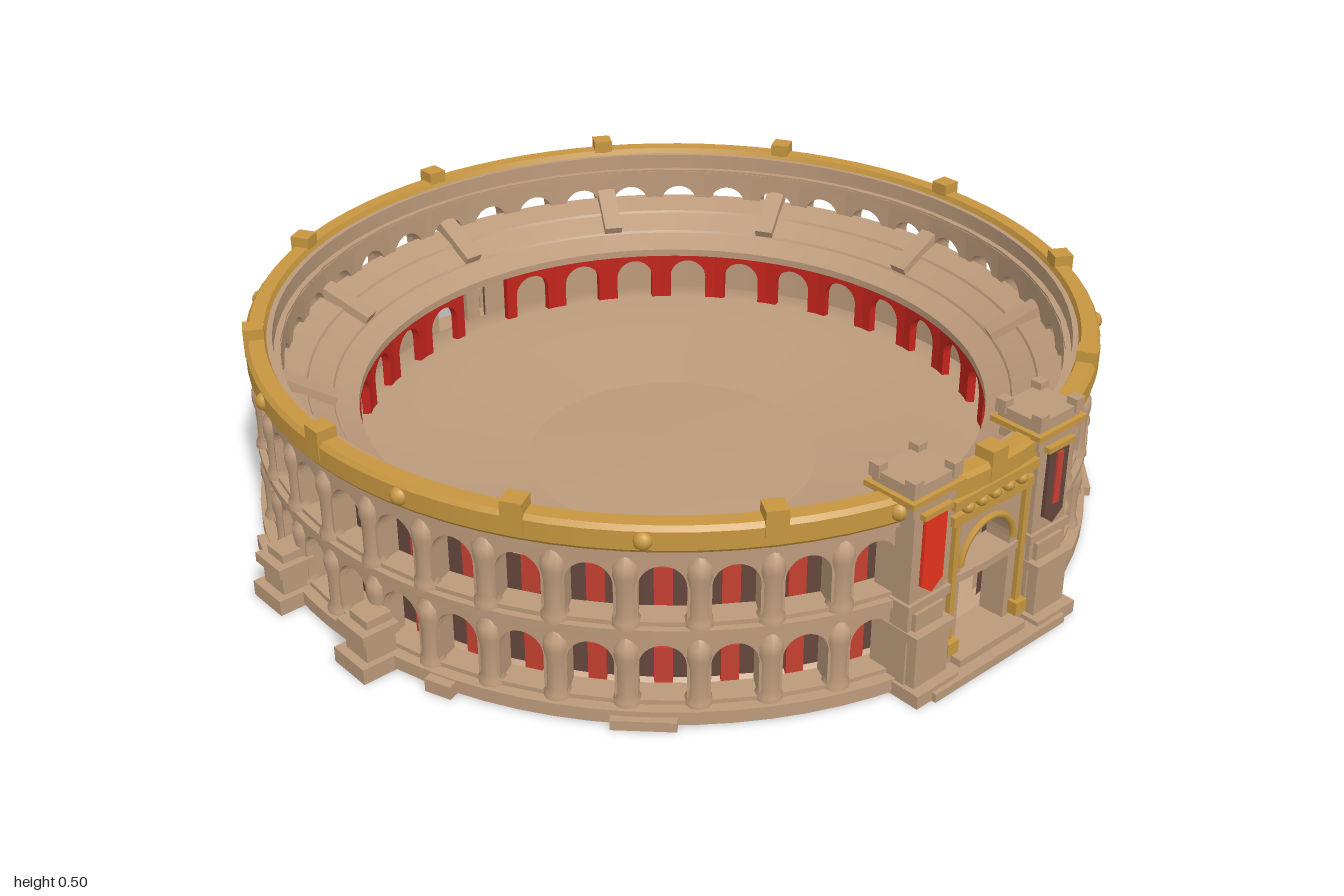
import * as THREE from 'three';
import { mergeGeometries } from 'three/addons/utils/BufferGeometryUtils.js';

const mat = (name, color, side = THREE.FrontSide) => {
  const m = new THREE.MeshStandardMaterial({ color, side });
  m.name = name;
  return m;
};

export function createModel() {
  const root = new THREE.Group();
  root.name = 'arena';
  const D = THREE.DoubleSide;
  const stone = mat('stone', 0xbc9a7b, D);
  const gold = mat('gold', 0xc6963f, D);
  const brown = mat('shadowed brown', 0x64463c, D);
  const darkRed = mat('arcade red', 0xc2241b, D);
  const clothRed = mat('faded red', 0xc44030);
  const red = mat('banner red', 0xf23420);

  const add = (name, geo, material, parent = root) => {
    const m = new THREE.Mesh(geo, material);
    m.name = name;
    parent.add(m);
    return m;
  };
  const box = (w, h, d, x, y, z) => new THREE.BoxGeometry(w, h, d).translate(x, y, z);
  // copies of a geometry turned around the y axis; keep() leaves gaps
  const ring = (geo, n, offset = 0, keep = () => true) => {
    const list = [];
    for (let i = 0; i < n; i++) {
      if (keep(i)) list.push(geo.clone().rotateY(((i + offset) / n) * Math.PI * 2));
    }
    return mergeGeometries(list);
  };
  const smoothLathe = (pts, seg) => new THREE.LatheGeometry(pts.map(p => new THREE.Vector2(...p)), seg);
  // each profile span gets its own vertices so its edges stay sharp
  const lathe = pts => mergeGeometries(pts.slice(1).map((p, i) => smoothLathe([pts[i], p], 84)));
  const band = (r0, r1, y0, y1) => lathe([[r0, y0], [r1, y0], [r1, y1], [r0, y1], [r0, y0]]);
  // wall panel with a round-headed opening
  const archPanel = (w, y0, y1, a, sill, spring, depth, z) => {
    const s = new THREE.Shape();
    s.moveTo(-w, y0).lineTo(w, y0).lineTo(w, y1).lineTo(-w, y1).closePath();
    const h = new THREE.Path();
    h.moveTo(-a, sill).lineTo(-a, spring).absarc(0, spring, a, Math.PI, 0, true);
    h.lineTo(a, sill).closePath();
    s.holes.push(h);
    return new THREE.ExtrudeGeometry(s, { depth, bevelEnabled: false, curveSegments: 8 })
      .translate(0, 0, z - depth);
  };

  // two tiers of arches with slim half columns
  const N = 42, R = 0.925;
  const halfBay = R * Math.tan(Math.PI / N);
  const notGate = i => i > 1 && i < N - 1;
  const tiers = [['lower', 0.03, 0.205, 0.045, 0.128], ['upper', 0.215, 0.4, 0.228, 0.308]];
  for (const [tier, y0, y1, sill, spring] of tiers) {
    add(tier + 'Arches', ring(archPanel(halfBay, y0, y1, 0.046, sill, spring, 0.055, R), N, 0, notGate), stone);
    const column = smoothLathe([
      [0.029, 0], [0.028, 0.015], [0.022, 0.028], [0.022, 0.09], [0.027, 0.115], [0.026, 0.14], [0.008, 0.165],
    ], 10).translate(0, y0, 0.915);
    add(tier + 'Columns', ring(column, N, 0.5, i => i > 1 && i < N - 2), stone);
    const hanging = box(0.036, 0.085, 0.008, 0, y0 + 0.053, 0.862);
    add(tier + 'Hangings', ring(hanging, N, 0, i => notGate(i) && i !== N / 2), clothRed);
  }

  // rings around the building
  add('plinth', band(0.86, 0.95, 0.005, 0.035), stone);
  add('middleLedge', band(0.87, 0.94, 0.2, 0.218), stone);
  add('upperLedge', band(0.87, 0.935, 0.38, 0.395), stone);
  add('parapetBack', band(0.885, 0.905, 0.39, 0.437), stone);
  add('cornice', lathe([[0.9, 0.393], [0.938, 0.393], [0.943, 0.4], [0.943, 0.44],
    [0.935, 0.45], [0.902, 0.45], [0.897, 0.437]]), gold);
  add('merlons', ring(box(0.045, 0.065, 0.045, 0, 0.442, 0.922), 12), gold);
  add('corniceKnobs', ring(new THREE.SphereGeometry(0.02, 10, 8).translate(0, 0.42, 0.938), 12, 0.5), gold);

  // corridor wall, brown outside and stone inside, open at the gate and opposite it
  for (const [side, start] of [['left', 0.1], ['right', Math.PI + 0.1]]) {
    for (const [face, r, material] of [['Outer', 0.855, brown], ['Inner', 0.845, stone]]) {
      add(side + face + 'CorridorWall', new THREE.CylinderGeometry(r, r, 0.272, 40, 1, true, start, Math.PI - 0.2)
        .translate(0, 0.172, 0), material);
    }
  }

  // sloped seating, its ribs, and the red arcade beneath
  add('seating', lathe([[0.712, 0.222], [0.712, 0.24], [0.765, 0.265], [0.768, 0.271],
    [0.82, 0.298], [0.823, 0.304], [0.88, 0.325]]), stone);
  add('seatingRibs', ring(new THREE.BoxGeometry(0.045, 0.03, 0.14).rotateX(-0.5).translate(0, 0.308, 0.825), 12), stone);
  const M = 32;
  add('innerArcade', ring(archPanel(0.738 * Math.tan(Math.PI / M), 0.09, 0.235, 0.046, 0.095, 0.16, 0.02, 0.738),
    M, 0, i => i % (M / 2) !== 0), darkRed);

  // bowl floor around a shallow domed base
  add('bowl', smoothLathe([[0.325, 0.045], [0.42, 0.058], [0.58, 0.08], [0.72, 0.1], [0.8, 0.09], [0.87, 0.035]], 64), stone);
  add('domedBase', smoothLathe([[0.92, 0.012], [0.72, 0.024], [0.5, 0.037], [0.33, 0.047], [0.15, 0.055], [0, 0.058]], 48), stone);

  // underside beams and footings
  add('crossBeams', mergeGeometries([box(1.42, 0.02, 0.045, 0, 0.012, 0), box(0.045, 0.018, 1.42, 0, 0.012, 0)]), stone);
  add('footings', ring(box(0.05, 0.02, 0.13, 0, 0.011, 0.87), 20, 0.5), stone);
  add('cornerSlabs', ring(box(0.13, 0.022, 0.06, 0, 0.012, 0.935), 4, 0.5), stone);
  add('smallSlabs', mergeGeometries([70, 110, 250, 290].map(a =>
    box(0.06, 0.03, 0.05, 0, 0.016, 0.945).rotateY(a * Math.PI / 180))), stone);

  // stepped pedestals in pairs on the sides and back
  const pedestal = mergeGeometries([-0.155, 0.155].flatMap(x => [
    box(0.105, 0.035, 0.09, x, 0.0175, 0.955),
    box(0.075, 0.05, 0.07, x, 0.06, 0.945),
    box(0.095, 0.022, 0.085, x, 0.094, 0.948),
    box(0.06, 0.02, 0.06, x, 0.114, 0.94),
  ]));
  add('pedestals', ring(pedestal, 4, 0, i => i > 0), stone);

  // gatehouse
  const gate = new THREE.Group();
  gate.name = 'gatehouse';
  root.add(gate);
  add('gateWall', archPanel(0.14, 0.01, 0.4, 0.075, 0.035, 0.235, 0.06, 0.93), stone, gate);
  add('archTrim', new THREE.TorusGeometry(0.08, 0.008, 6, 16, Math.PI).translate(0, 0.235, 0.932), gold, gate);
  add('gateLintel', mergeGeometries([
    box(0.24, 0.022, 0.04, 0, 0.355, 0.922), box(0.25, 0.02, 0.05, 0, 0.395, 0.922),
    ...[-1, 1].flatMap(s => [box(0.014, 0.3, 0.02, s * 0.105, 0.2, 0.931), box(0.032, 0.03, 0.03, s * 0.105, 0.06, 0.938)]),
  ]), gold, gate);
  add('lintelKnobs', mergeGeometries([-0.08, -0.04, 0, 0.04, 0.08].map(x =>
    new THREE.SphereGeometry(0.015, 8, 6).translate(x, 0.377, 0.938))), gold, gate);
  add('gateSteps', mergeGeometries([box(0.4, 0.02, 0.09, 0, 0.01, 0.95), box(0.2, 0.018, 0.06, 0, 0.028, 0.94)]), stone, gate);

  for (const s of [1, -1]) {
    const tower = new THREE.Group();
    tower.name = s > 0 ? 'leftTower' : 'rightTower';
    tower.position.x = s * 0.183;
    gate.add(tower);
    const corners = [-1, 1].flatMap(x => [-1, 1].map(z => [x, z]));
    add('towerBody', box(0.105, 0.44, 0.09, 0, 0.22, 0.895), stone, tower);
    add('towerCap', mergeGeometries([
      box(0.12, 0.02, 0.1, 0, 0.425, 0.892), box(0.125, 0.025, 0.105, 0, 0.47, 0.89),
      ...corners.map(([x, z]) => box(0.025, 0.03, 0.025, x * 0.055, 0.483, 0.89 + z * 0.045)),
    ]), stone, tower);
    add('capTrim', box(0.148, 0.012, 0.126, 0, 0.452, 0.89), gold, tower);
    add('towerBase', mergeGeometries([
      box(0.12, 0.03, 0.1, 0, 0.015, 0.935), box(0.095, 0.11, 0.075, 0, 0.085, 0.925),
      box(0.11, 0.02, 0.09, 0, 0.145, 0.924), box(0.08, 0.04, 0.07, 0, 0.175, 0.915),
      box(0.12, 0.02, 0.095, 0, 0.21, 0.9),
    ]), stone, tower);
    // pointed hanging banner
    const flag = new THREE.Shape();
    flag.moveTo(-0.03, 0.415).lineTo(-0.03, 0.255).lineTo(0, 0.232).lineTo(0.03, 0.255).lineTo(0.03, 0.415).closePath();
    add('banner', new THREE.ExtrudeGeometry(flag, { depth: 0.008, bevelEnabled: false }).translate(0, 0, 0.942),
      s > 0 ? brown : red, tower);
    if (s > 0) add('bannerStripe', box(0.018, 0.12, 0.004, 0, 0.34, 0.952), clothRed, tower);
    add('bannerRod', box(0.08, 0.012, 0.014, 0, 0.415, 0.948), gold, tower);
  }
  return root;
}
